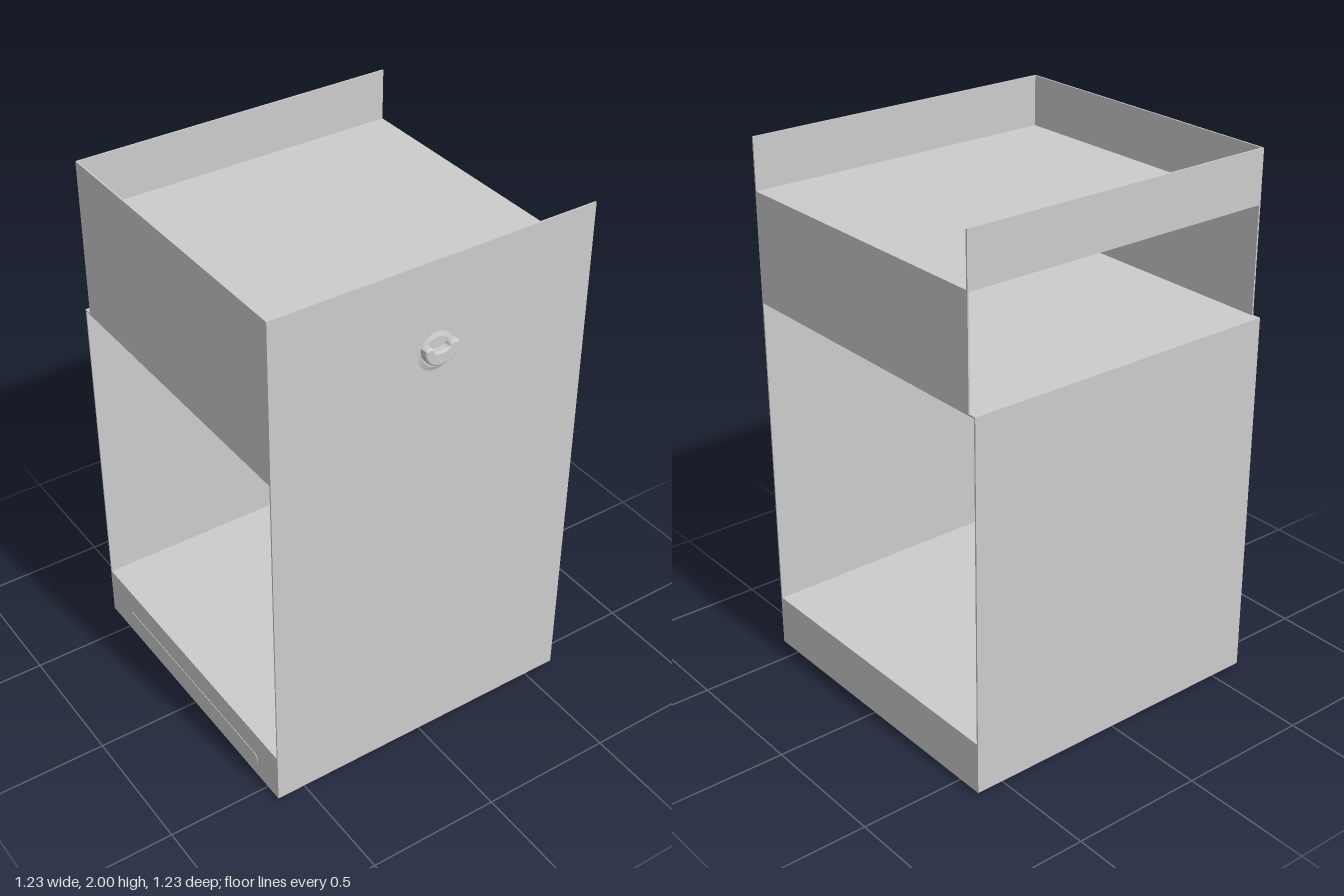
import * as THREE from 'three';

export function createModel() {
  const root = new THREE.Group();
  const grey = new THREE.MeshStandardMaterial({ color: 0xcccccc });
  grey.name = 'light grey';
  const T = 0.006; // sheet thickness

  const add = (name, geometry) => {
    const mesh = new THREE.Mesh(geometry, grey);
    mesh.name = name;
    root.add(mesh);
    return mesh;
  };
  // Box given by its limits on each axis
  const panel = (name, x0, x1, y0, y1, z0, z1) =>
    add(name, new THREE.BoxGeometry(x1 - x0, y1 - y0, z1 - z0))
      .position.set((x0 + x1) / 2, (y0 + y1) / 2, (z0 + z1) / 2);

  const W = 0.615, F = 0.58, B = -0.612, TB = -0.58;
  const BASE = 0.015, FLOOR = 0.21, SHELF = 1.41, TRAY = 1.81, TOP = 2;

  // Upright sheets
  panel('frontPanel', -W, W, BASE, TOP, F - T, F);
  panel('backPanel', -W, W, BASE, SHELF, B, B + T);
  panel('trayBackRim', -W, W, TRAY, TOP, TB, TB + T);
  panel('rightUpperSide', -W, -W + T, SHELF, TOP, TB, F - T);
  panel('leftUpperSide', W - T, W, SHELF, TRAY, TB, F - T);
  for (const [name, x] of [['rightBaseSide', -W], ['leftBaseSide', W - T]])
    panel(name, x, x + T, BASE, FLOOR, B + T, F - T);

  // Level sheets
  panel('baseFloor', -W + T, W - T, FLOOR - T, FLOOR, B + T, F - T);
  panel('middleShelf', -W, W, SHELF - T, SHELF, B, F - T);
  panel('trayFloor', -W + T, W, TRAY - T, TRAY, TB, F - T);

  // Rounded rectangle outline centred on a point
  const roundedRect = (cx, cy, w, h, r) => {
    const s = new THREE.Shape();
    const x = cx - w / 2, y = cy - h / 2;
    s.absarc(x + w - r, y + r, r, -Math.PI / 2, 0);
    s.absarc(x + w - r, y + h - r, r, 0, Math.PI / 2);
    s.absarc(x + r, y + h - r, r, Math.PI / 2, Math.PI);
    s.absarc(x + r, y + r, r, Math.PI, Math.PI * 1.5);
    s.closePath();
    return s;
  };

  // Padded underside: a rounded block below the base floor and a lower flat foot
  const pad = new THREE.ExtrudeGeometry(roundedRect(-0.01, 0.03, 0.94, 0.82, 0.1), {
    depth: 0.16, bevelEnabled: true, bevelSize: 0.035, bevelThickness: 0.02, bevelSegments: 3,
  });
  pad.rotateX(-Math.PI / 2);
  add('undersidePad', pad).position.y = 0.028;
  const foot = new THREE.ExtrudeGeometry(roundedRect(-0.135, 0.035, 0.69, 0.87, 0.05), {
    depth: 0.02, bevelEnabled: false,
  });
  foot.rotateX(-Math.PI / 2);
  add('undersideFoot', foot);

  // Slim rounded plate on the right of the base
  const slot = new THREE.ExtrudeGeometry(roundedRect(0, 0, 0.92, 0.055, 0.026), {
    depth: 0.002, bevelEnabled: false,
  });
  slot.rotateY(-Math.PI / 2);
  add('basePlate', slot).position.set(-W, 0.085, -0.01);

  // Crescent pull on a thin round flange
  const flange = new THREE.CylinderGeometry(0.055, 0.07, 0.006, 32);
  flange.rotateX(Math.PI / 2);
  add('pullFlange', flange).position.set(0, 1.67, F + 0.003);

  const crescent = new THREE.Shape();
  crescent.moveTo(-0.055, 0.026);
  crescent.bezierCurveTo(-0.06, -0.01, -0.03, -0.032, 0, -0.032);
  crescent.bezierCurveTo(0.03, -0.032, 0.065, -0.01, 0.058, 0.026);
  crescent.bezierCurveTo(0.045, 0.034, 0.036, 0.025, 0.036, 0.016);
  crescent.bezierCurveTo(0.02, 0, -0.02, 0, -0.034, 0.016);
  crescent.bezierCurveTo(-0.034, 0.025, -0.045, 0.034, -0.055, 0.026);
  const pull = new THREE.ExtrudeGeometry(crescent, {
    depth: 0.018, bevelEnabled: true, bevelSize: 0.008, bevelThickness: 0.009,
    bevelSegments: 4, curveSegments: 8,
  });
  add('pull', pull).position.set(0, 1.673, F + 0.007);

  return root;
}
